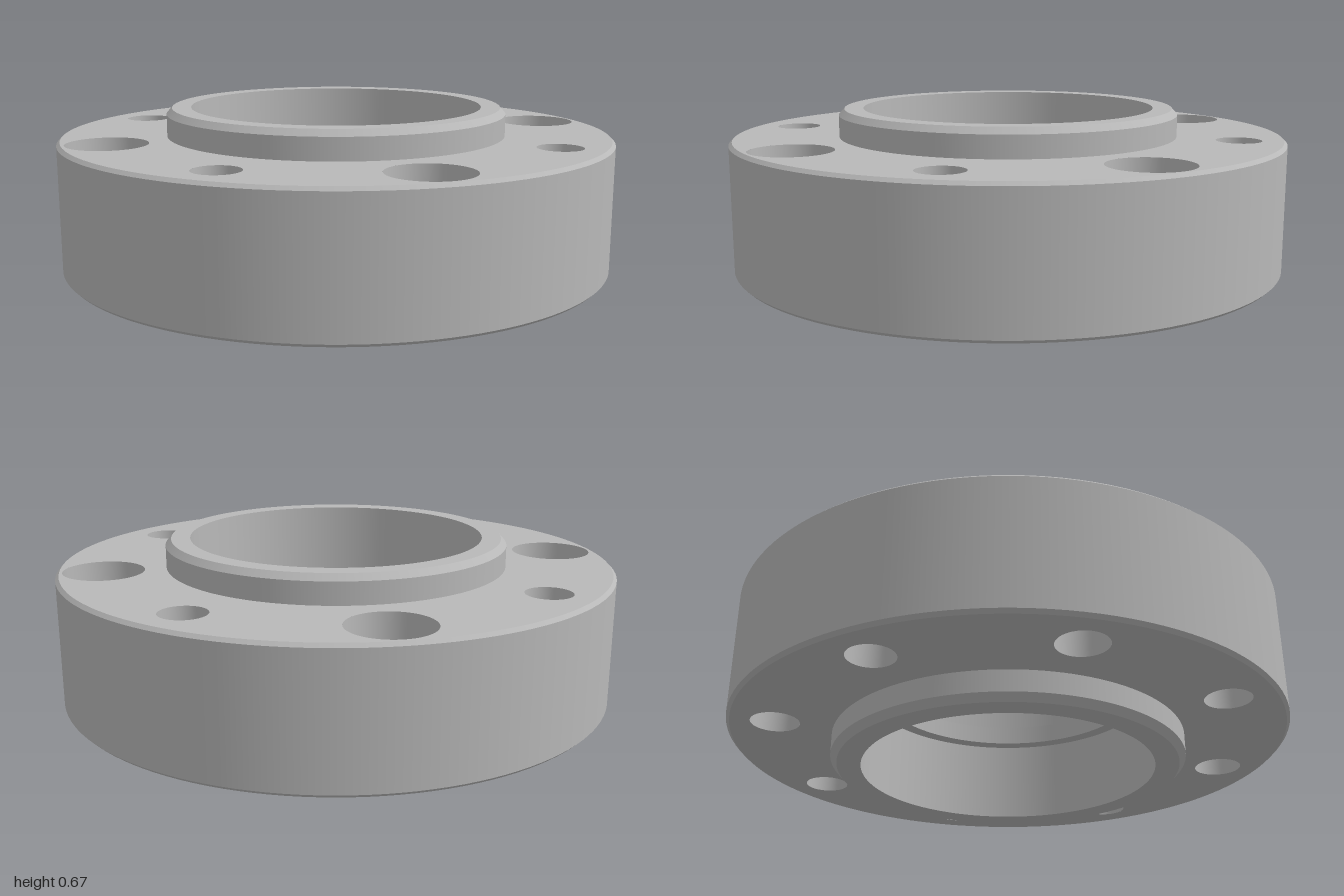
import * as THREE from 'three';
import { mergeGeometries } from 'three/addons/utils/BufferGeometryUtils.js';

const steel = new THREE.MeshStandardMaterial({ color: 0xb8b8b8 });
steel.name = 'steel grey';

// Main heights and radii
const FLANGE_BOTTOM = 0.1, FLANGE_TOP = 0.57, TOP = 0.67;
const RIM = 1, FACE = 0.988, UPPER_BOSS = 0.615, LOWER_BOSS = 0.635;
const BORE = 0.527, LEDGE = 0.477;
const BOLT_CIRCLE = 0.834, COUNTERBORE = 0.143, COUNTERBORE_DEPTH = 0.18;

// Revolves each profile segment on its own, so every edge stays crisp.
// Profiles run up the outside, inward on top, down inside a hole.
function turned(name, profile, segments = 128) {
  const bands = [];
  for (let i = 0; i < profile.length - 1; i++) {
    const ends = [profile[i], profile[i + 1]].map(([r, y]) => new THREE.Vector2(r, y));
    bands.push(new THREE.LatheGeometry(ends, segments));
  }
  const mesh = new THREE.Mesh(mergeGeometries(bands), steel);
  mesh.name = name;
  return mesh;
}

function circle(path, x, y, r) {
  path.absarc(x, y, r, 0, Math.PI * 2, false);
  return path;
}

// Flat annular flange face pierced by the bolt holes
function flangeFace(name, y, innerRadius, holes, up) {
  const shape = circle(new THREE.Shape(), 0, 0, FACE);
  shape.holes.push(circle(new THREE.Path(), 0, 0, innerRadius));
  for (const h of holes) shape.holes.push(circle(new THREE.Path(), h.x, h.z, h.r));
  const geometry = new THREE.ShapeGeometry(shape, 64);
  geometry.rotateX(up ? -Math.PI / 2 : Math.PI / 2);
  const mesh = new THREE.Mesh(geometry, steel);
  mesh.name = name;
  mesh.position.y = y;
  return mesh;
}

export function createModel() {
  const model = new THREE.Group();
  model.name = 'flange';

  // Cylindrical rim with small chamfers
  model.add(turned('rim', [
    [FACE, FLANGE_BOTTOM], [RIM, FLANGE_BOTTOM + 0.012],
    [RIM, FLANGE_TOP - 0.012], [FACE, FLANGE_TOP],
  ]));

  // Raised collars above and below
  model.add(turned('upperBoss', [
    [UPPER_BOSS, FLANGE_TOP], [UPPER_BOSS, TOP - 0.022], [0.595, TOP], [BORE, TOP],
  ]));
  model.add(turned('lowerBoss', [
    [BORE, 0], [0.612, 0], [LOWER_BOSS, 0.025], [LOWER_BOSS, FLANGE_BOTTOM],
  ]));

  // Central bore with an internal ledge
  model.add(turned('bore', [
    [BORE, TOP], [BORE, 0.37], [LEDGE, 0.37], [LEDGE, 0.3], [BORE, 0.3], [BORE, 0],
  ]));

  // Eight bolt holes, every other one counterbored
  const topHoles = [], bottomHoles = [];
  for (let i = 0; i < 8; i++) {
    const angle = i * Math.PI / 4;
    const x = BOLT_CIRCLE * Math.cos(angle), z = BOLT_CIRCLE * Math.sin(angle);
    const stepped = i % 2 === 0;
    const r = stepped ? 0.085 : 0.08;
    const floor = FLANGE_TOP - COUNTERBORE_DEPTH;
    const profile = stepped
      ? [[COUNTERBORE, FLANGE_TOP], [COUNTERBORE, floor], [r, floor], [r, FLANGE_BOTTOM]]
      : [[r, FLANGE_TOP], [r, FLANGE_BOTTOM]];
    const hole = turned(stepped ? 'counterboredHole' : 'boltHole', profile, 64);
    hole.position.set(x, 0, z);
    model.add(hole);
    topHoles.push({ x, z, r: stepped ? COUNTERBORE : r });
    bottomHoles.push({ x, z, r });
  }

  model.add(flangeFace('flangeTopFace', FLANGE_TOP, UPPER_BOSS, topHoles, true));
  model.add(flangeFace('flangeBottomFace', FLANGE_BOTTOM, LOWER_BOSS, bottomHoles, false));
  return model;
}
